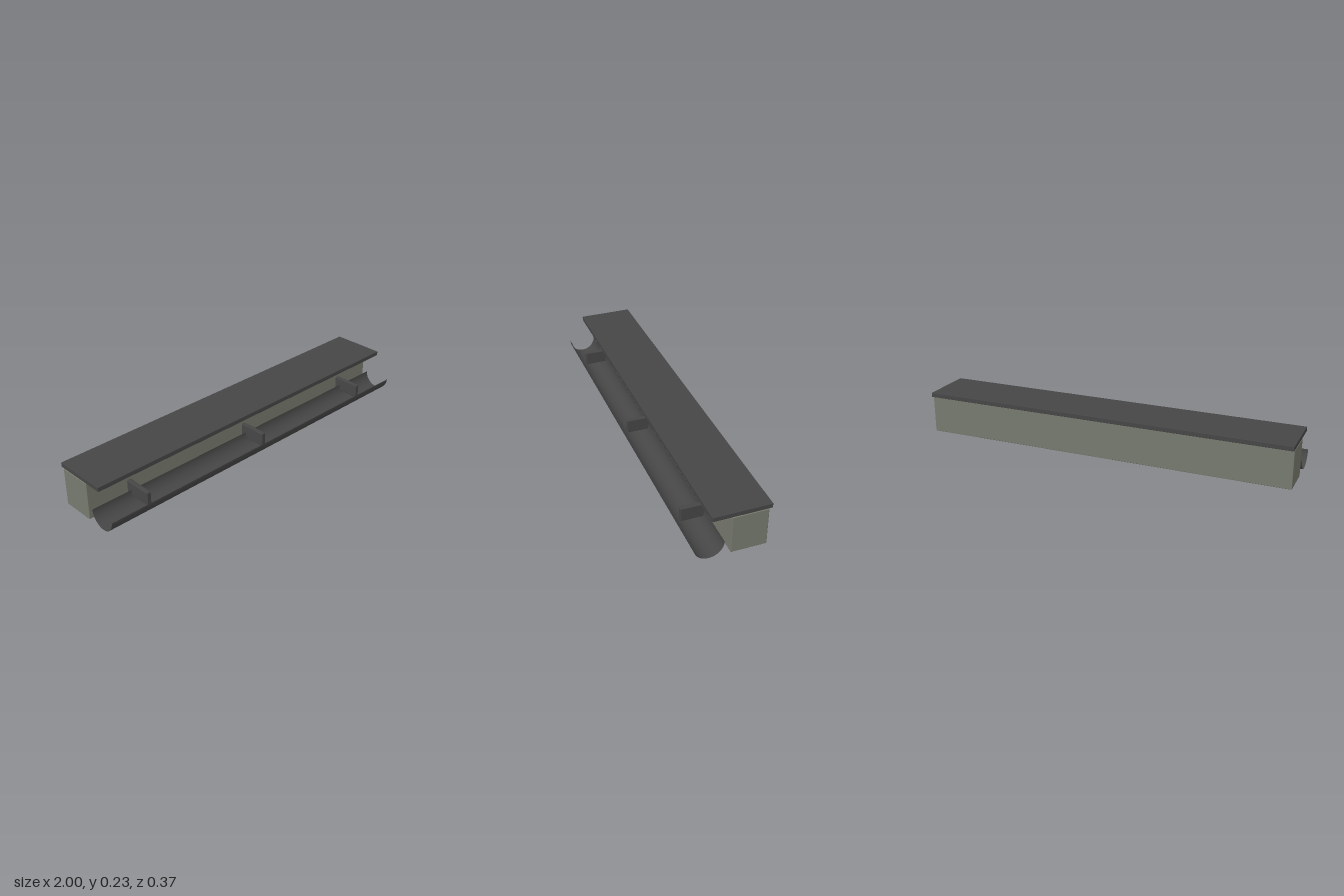
import * as THREE from 'three';
import { RoundedBoxGeometry } from 'three/addons/geometries/RoundedBoxGeometry.js';

export function createModel() {
  const model = new THREE.Group();
  model.name = 'eavesWithGutter';

  const stone = new THREE.MeshStandardMaterial({ name: 'greenGrey', color: 0x777a6e });
  const metal = new THREE.MeshStandardMaterial({ name: 'darkGrey', color: 0x464646 });
  const sheet = new THREE.MeshStandardMaterial({ name: 'darkGreySheet', color: 0x464646, side: THREE.DoubleSide });

  // Softly bevelled block given by its x centre, width and y/z extents
  function block(name, material, x, width, y0, y1, z0, z1, bevel) {
    const mesh = new THREE.Mesh(new RoundedBoxGeometry(width, y1 - y0, z1 - z0, 2, bevel), material);
    mesh.position.set(x, (y0 + y1) / 2, (z0 + z1) / 2);
    mesh.name = name;
    model.add(mesh);
  }

  // Beam and the overhanging cap above it
  block('beam', stone, 0, 2, 0, 0.2, -0.171, 0.007, 0.003);
  block('cap', metal, 0, 2, 0.203, 0.227, -0.187, 0.103, 0.002);

  // Brackets reaching from the beam into the gutter
  for (const x of [-0.76, 0, 0.76]) {
    block('bracket', metal, x, 0.024, 0.04, 0.113, -0.008, 0.158, 0.005);
  }

  // Half-round gutter, open at the top and at both ends
  const radius = 0.074;
  const trough = new THREE.CylinderGeometry(radius, radius, 2, 32, 1, true, Math.PI, Math.PI);
  trough.rotateZ(Math.PI / 2);
  const gutter = new THREE.Mesh(trough, sheet);
  gutter.position.set(0, radius, 0.113);
  gutter.name = 'gutter';
  model.add(gutter);

  return model;
}
